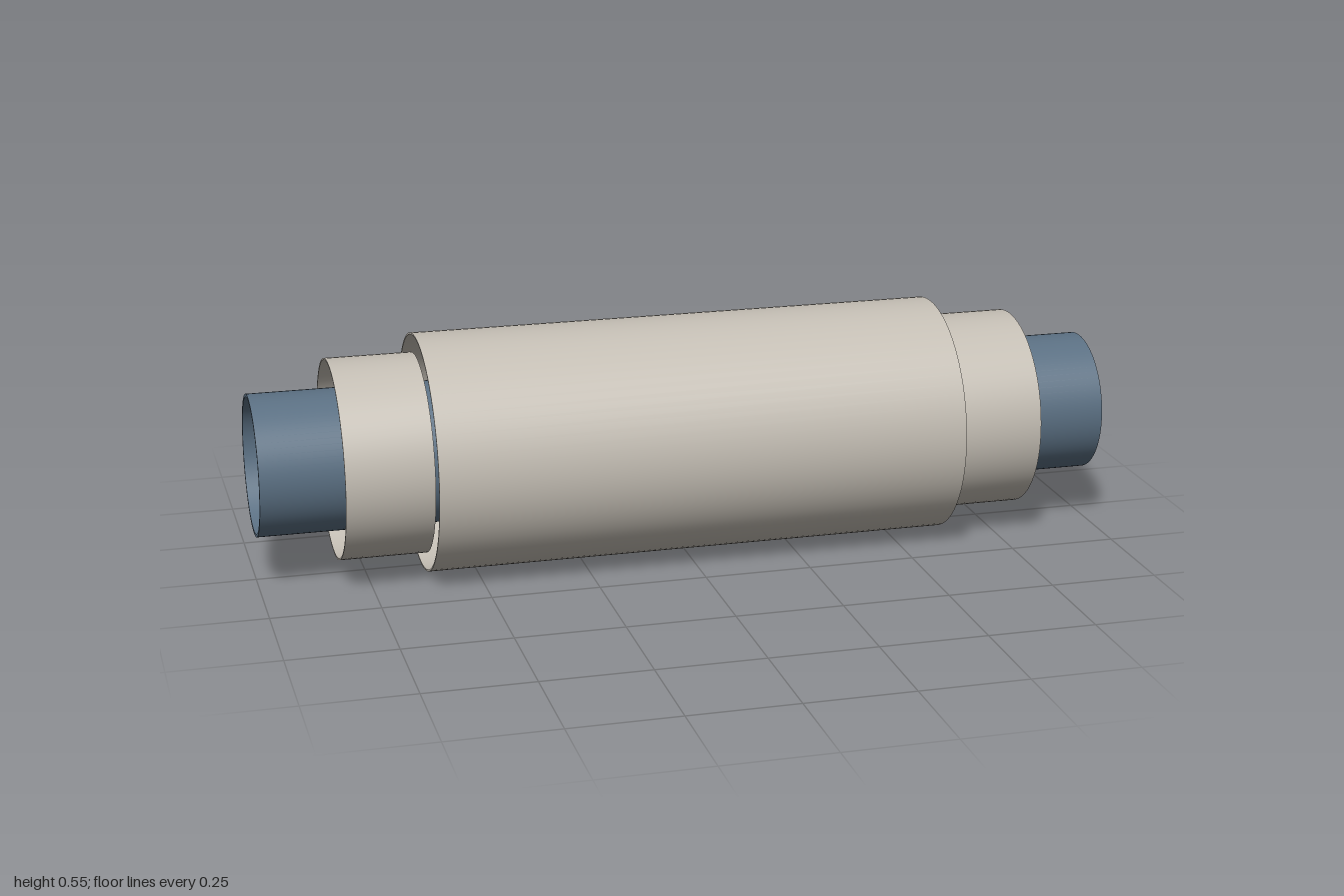
import * as THREE from 'three';
import { toCreasedNormals } from 'three/addons/utils/BufferGeometryUtils.js';

const SIDES = 72;
const AXIS_Y = 0.275;

// Revolves [x, radius] points around the horizontal axis of the pipe.
function revolve(name, profile, material) {
  const points = profile.map(([x, r]) => new THREE.Vector2(r, x));
  const lathe = new THREE.LatheGeometry(points, SIDES).rotateZ(-Math.PI / 2);
  const mesh = new THREE.Mesh(toCreasedNormals(lathe, 0.4), material);
  mesh.name = name;
  mesh.position.y = AXIS_Y;
  return mesh;
}

// Open tube with a thin wall between x0 and x1.
function tube(name, x0, x1, outer, inner, material) {
  return revolve(name, [[x0, outer], [x1, outer], [x1, inner], [x0, inner], [x0, outer]], material);
}

export function createModel() {
  const group = new THREE.Group();
  group.name = 'expansionJoint';
  const shell = new THREE.MeshStandardMaterial({ color: 0xc4beb4 });
  const steel = new THREE.MeshStandardMaterial({ color: 0x5b7083 });
  const bellowsMaterial = new THREE.MeshStandardMaterial({ color: 0x8c9aa3, side: THREE.DoubleSide });

  // Inner pipe running the whole length
  group.add(tube('innerPipe', -1, 1, 0.163, 0.156, steel));

  // Corrugated bellows around the pipe, inside the cover
  const folds = 18, half = 0.45;
  const zigzag = [];
  for (let i = 0; i <= folds * 2; i++) {
    zigzag.push([-half + (half * i) / folds, i % 2 ? 0.193 : 0.1635]);
  }
  group.add(revolve('bellows', zigzag, bellowsMaterial));

  // Outer cover sleeve
  group.add(tube('outerCover', -0.617, 0.617, 0.275, 0.271, shell));

  // Short guide sleeves beyond each end of the cover
  group.add(tube('leftGuideSleeve', 0.617, 0.818, 0.231, 0.227, shell));
  group.add(tube('rightGuideSleeve', -0.818, -0.617, 0.231, 0.227, shell));

  return group;
}
